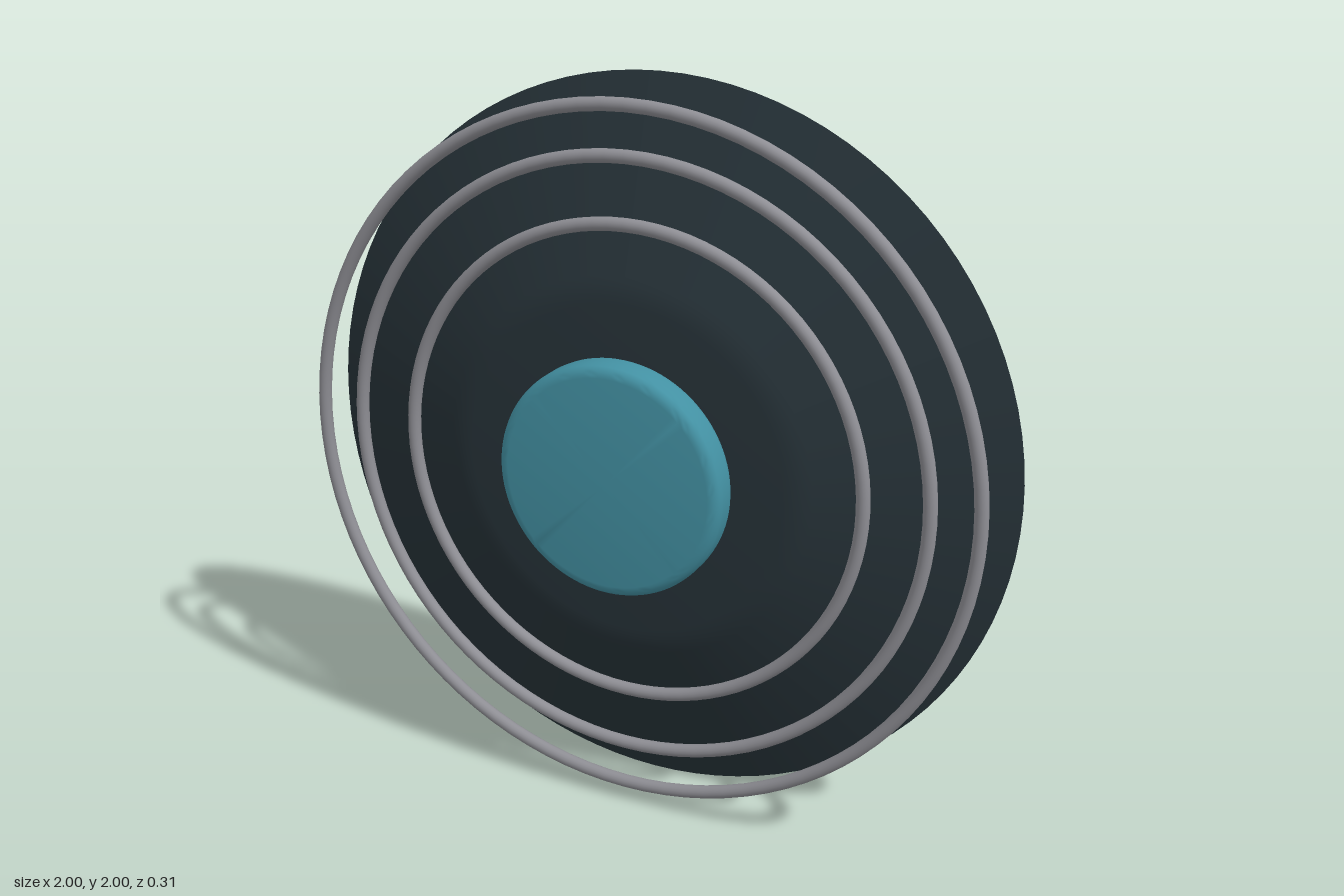
import * as THREE from 'three';
import { toCreasedNormals } from 'three/addons/utils/BufferGeometryUtils.js';

const shell = new THREE.MeshStandardMaterial({ color: 0x263238 });
shell.name = 'dark slate';
const teal = new THREE.MeshStandardMaterial({ color: 0x4391a3 });
teal.name = 'teal';
const metal = new THREE.MeshStandardMaterial({ color: 0x8e8e94 });
metal.name = 'grey metal';

// Turn a [radius, z] profile, listed back to front, around the z axis.
function turned(name, profile, material, crease) {
  const points = profile.map(([r, z]) => new THREE.Vector2(r, z));
  const geometry = new THREE.LatheGeometry(points, 96).rotateX(Math.PI / 2);
  const mesh = new THREE.Mesh(toCreasedNormals(geometry, crease), material);
  mesh.name = name;
  return mesh;
}

export function createModel() {
  const model = new THREE.Group();
  model.name = 'ringedDisc';

  // Flat-backed dish with sloping sides and a softened front edge
  const body = turned('body', [
    [0, -0.155], [1, -0.155], [0.52, 0.043], [0.5, 0.051], [0.475, 0.057], [0.45, 0.06], [0, 0.06],
  ], shell, 0.35);

  // Round centre pad with rounded rims
  const R = 0.317, back = 0.055, front = 0.155, bevel = 0.032;
  const rim = [[0, back]];
  for (const [z, start] of [[back + bevel, -Math.PI / 2], [front - bevel, 0]]) {
    for (let i = 0; i <= 6; i++) {
      const a = start + (i / 6) * Math.PI / 2;
      rim.push([R - bevel + bevel * Math.cos(a), z + bevel * Math.sin(a)]);
    }
  }
  rim.push([0, front]);
  const pad = turned('centrePad', rim, teal, 0.6);

  model.add(body, pad);

  // Three concentric rings in one plane, standing off the sloping side
  const rings = new THREE.Group();
  rings.name = 'rings';
  for (const [name, radius] of [['innerRing', 0.65], ['middleRing', 0.82], ['outerRing', 0.946]]) {
    const ring = new THREE.Mesh(new THREE.TorusGeometry(radius, 0.018, 16, 96), metal);
    ring.name = name;
    ring.position.z = 0.033;
    rings.add(ring);
  }
  model.add(rings);

  model.position.y = 1;
  const root = new THREE.Group();
  root.add(model);
  return root;
}
